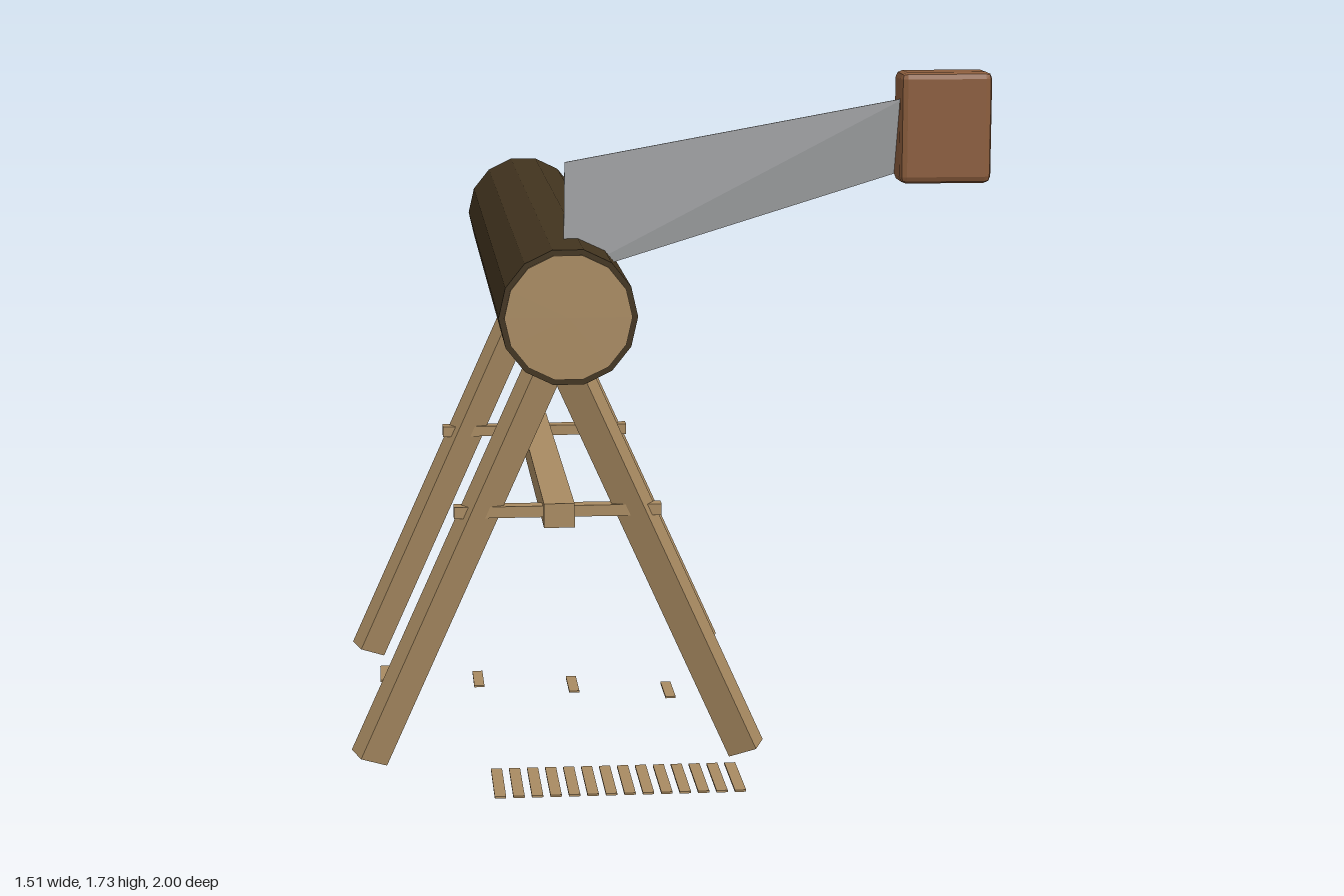
import * as THREE from 'three';
import { RoundedBoxGeometry } from 'three/addons/geometries/RoundedBoxGeometry.js';

function material(name, color) {
  const m = new THREE.MeshStandardMaterial({ color, flatShading: true });
  m.name = name;
  return m;
}

export function createModel() {
  const root = new THREE.Group();
  root.name = 'sawhorse';
  const wood = material('light wood', 0xa98b62);
  const bark = material('bark', 0x42341f);
  const handleWood = material('handle brown', 0x8b5d3d);
  const steel = material('steel', 0xb4b6b8);

  const add = (name, geometry, mat, x, y, z) => {
    const mesh = new THREE.Mesh(geometry, mat);
    mesh.name = name;
    mesh.position.set(x, y, z);
    root.add(mesh);
    return mesh;
  };
  const box = (name, w, h, d, mat, x, y, z) =>
    add(name, new THREE.BoxGeometry(w, h, d), mat, x, y, z);

  const cx = -0.245; // centre line of log and trestles

  // Log with pale cut ends standing slightly proud of the bark
  const cylinderZ = (r, length) =>
    new THREE.CylinderGeometry(r, r, length, 14).rotateY(Math.PI / 2).rotateX(Math.PI / 2);
  add('log', cylinderZ(0.16, 1.99), bark, cx, 1.19, 0);
  for (const s of [1, -1]) add('logEnd', cylinderZ(0.147, 0.008), wood, cx, 1.19, s * 0.996);

  // Two A-frames: leaning legs twisted about their own axis, and a cross rail
  const lean = 0.4227, twist = 0.464, legLength = 1.15;
  for (const z of [0.556, -0.479]) {
    for (const s of [1, -1]) {
      const leg = box('leg', 0.078, legLength, 0.056, wood,
        cx + s * (0.47 - Math.sin(lean) * legLength / 2),
        0.023 + Math.cos(lean) * legLength / 2, z);
      leg.rotation.set(0, -s * twist, s * lean, 'ZYX');
    }
    box('crossRail', 0.51, 0.028, 0.04, wood, cx, 0.644, z + 0.003);
  }

  // Long stretcher joining the frames
  box('stretcher', 0.075, 0.06, 1.18, wood, cx, 0.644, 0.038);

  // Tapered blade, leaning forward towards its upper edge
  const blade = new THREE.BoxGeometry(1, 1, 0.005);
  const p = blade.attributes.position;
  for (let i = 0; i < p.count; i++) {
    const right = p.getX(i) > 0, top = p.getY(i) > 0;
    p.setXYZ(i, right ? 0.55 : -0.243,
      right ? (top ? 1.672 : 1.492) : (top ? 1.53 : 1.25),
      (top ? 0.844 : 0.776) + p.getZ(i));
  }
  blade.computeVertexNormals();
  add('sawBlade', blade, steel, 0, 0, 0);

  // Chamfered saw handle
  add('sawHandle', new RoundedBoxGeometry(0.216, 0.26, 0.1, 1, 0.016), handleWood, 0.648, 1.603, 0.815);

  // Row of slats and scattered chips just above the ground
  for (let i = 0; i < 14; i++) box('slat', 0.027, 0.005, 0.22, wood, -0.406 + i * 0.0441, 0.028, 0.808);
  for (let i = 0; i < 4; i++) box('chip', 0.027, 0.005, 0.145, wood, -0.67 + i * 0.25, 0.029, -0.19 + i * 0.075);

  return root;
}
